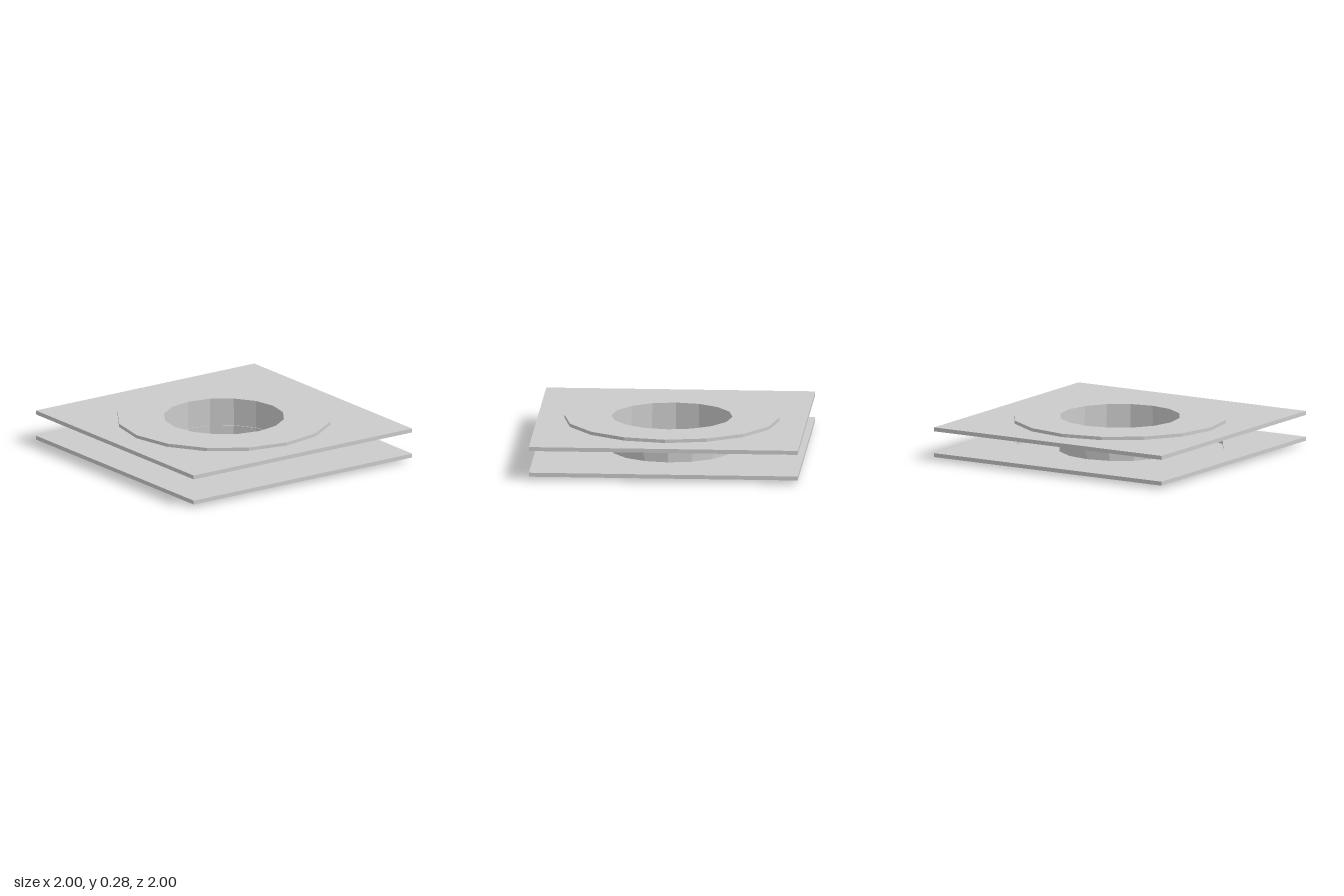
import * as THREE from 'three';

const SIDES = 16;
const HEIGHT = 0.275;

export function createModel() {
  const model = new THREE.Group();
  model.name = 'turntableBearing';
  const material = new THREE.MeshStandardMaterial({ color: 0xcccccc, flatShading: true });

  const add = (parent, name, geometry) => {
    const mesh = new THREE.Mesh(geometry, material);
    mesh.name = name;
    parent.add(mesh);
    return mesh;
  };

  // Closed ring turned from a counter-clockwise [radius, height] profile
  const ring = (points) => new THREE.LatheGeometry(
    [...points, points[0]].map(([r, y]) => new THREE.Vector2(r, y)), SIDES);

  // Square sheet with a many-sided opening, lying flat
  const squarePlate = (half, holeRadius, thickness) => {
    const shape = new THREE.Shape([[-half, -half], [half, -half], [half, half], [-half, half]]
      .map(([x, y]) => new THREE.Vector2(x, y)));
    const hole = [];
    for (let i = 0; i < SIDES; i++) {
      const a = -i / SIDES * Math.PI * 2;
      hole.push(new THREE.Vector2(Math.cos(a) * holeRadius, Math.sin(a) * holeRadius));
    }
    shape.holes.push(new THREE.Path(hole));
    return new THREE.ExtrudeGeometry(shape, { depth: thickness, bevelEnabled: false })
      .rotateX(-Math.PI / 2);
  };

  // Lower half, and the same half turned over for the top
  for (const side of ['lower', 'upper']) {
    const half = new THREE.Group();
    half.name = side + 'Half';
    add(half, side + 'Plate', squarePlate(1, 0.78, 0.03)).position.y = 0.025;
    // Raised round flange with a thin collar around the opening
    add(half, side + 'Flange', ring([
      [0.45, 0], [0.8, 0], [0.8, 0.025], [0.458, 0.025], [0.458, 0.066], [0.45, 0.066],
    ]));
    if (side === 'upper') {
      half.rotation.x = Math.PI;
      half.position.y = HEIGHT;
    }
    model.add(half);
  }

  // Bearing ring between the plates
  add(model, 'bearingRing', ring([
    [0.456, 0.065], [0.475, 0.065], [0.475, 0.21], [0.456, 0.21],
  ]));

  return model;
}
